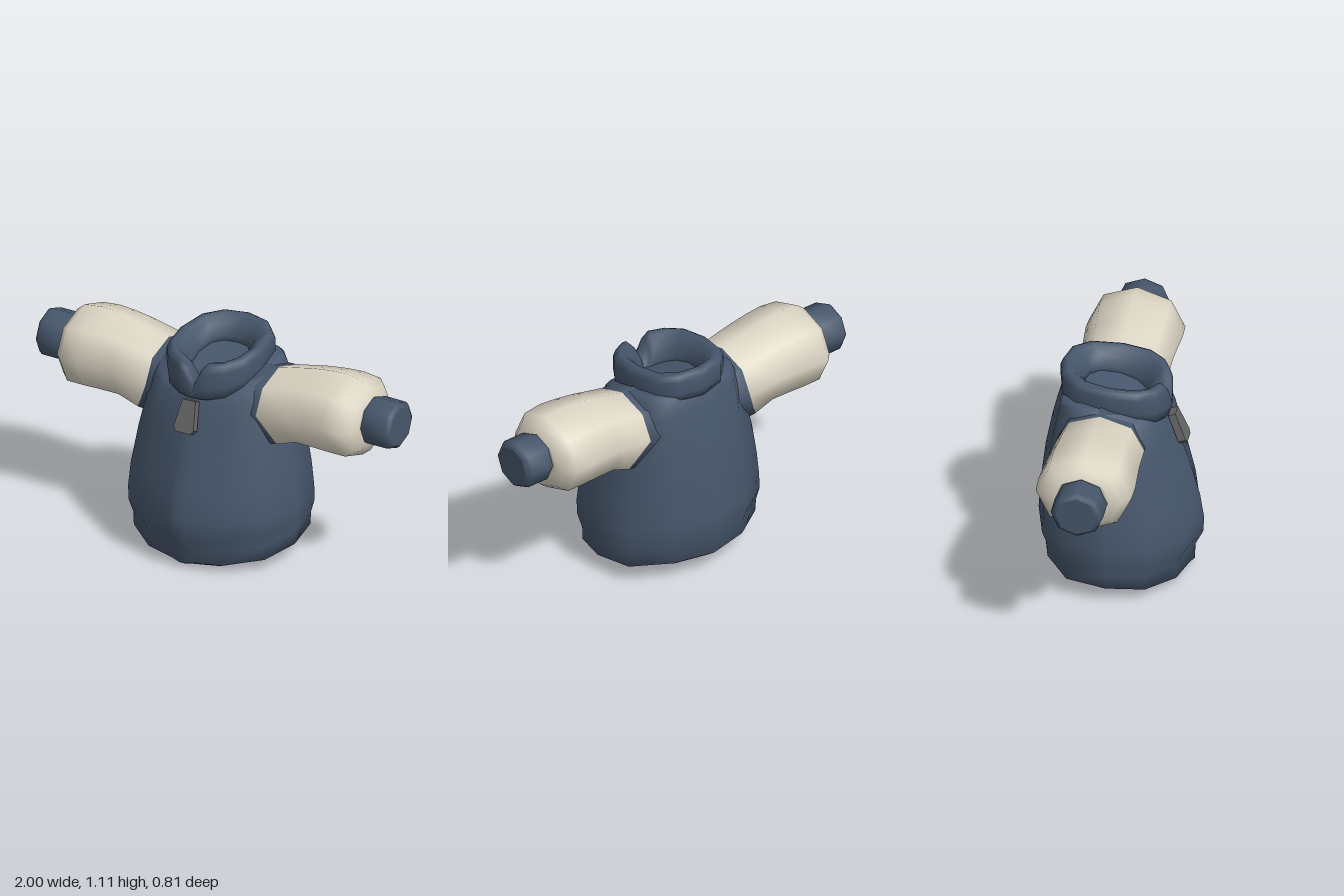
import * as THREE from 'three';

const rad = THREE.MathUtils.degToRad;
// Signed power: below 1 it squares off a circle.
const spow = (v, p) => Math.sign(v) * Math.abs(v) ** p;

// Skin between rings of [x, y, z] points; optional flat caps and end-to-start wrap.
function loft(rings, { capStart = false, capEnd = false, wrap = false } = {}) {
  const n = rings[0].length;
  const pos = rings.flat(2);
  const idx = [];
  const count = wrap ? rings.length : rings.length - 1;
  for (let i = 0; i < count; i++) {
    const k = (i + 1) % rings.length;
    for (let j = 0; j < n; j++) {
      const m = (j + 1) % n;
      const a = i * n + j, b = i * n + m, c = k * n + m, d = k * n + j;
      idx.push(a, b, c, a, c, d);
    }
  }
  const cap = (ring, flip) => {
    const base = pos.length / 3;
    const mid = [0, 1, 2].map(c => ring.reduce((s, p) => s + p[c], 0) / n);
    pos.push(...ring.flat(), ...mid);
    for (let j = 0; j < n; j++) {
      const a = base + j, b = base + (j + 1) % n;
      idx.push(base + n, flip ? b : a, flip ? a : b);
    }
  };
  if (capStart) cap(rings[0], true);
  if (capEnd) cap(rings[rings.length - 1], false);
  const geo = new THREE.BufferGeometry();
  geo.setAttribute('position', new THREE.Float32BufferAttribute(pos, 3));
  geo.setIndex(idx);
  geo.computeVertexNormals();
  return geo;
}

// Tilted body ring: front/back heights, front/back depth, half width,
// extra height at the sides, squareness.
function bodyRing([yF, yB, zF, zB, w, lift = 0, square = 0]) {
  const angles = [0, 6, 30, 60, 90, 120, 150, 180, 210, 240, 270, 300, 330, 354];
  return angles.map(deg => {
    const s = Math.sin(rad(deg)), c = Math.cos(rad(deg));
    const placket = deg === 6 || deg === 354;
    // Fuller at the back corners, slimmer beside the placket
    let bulge = 1;
    if (deg === 120 || deg === 240) bulge += 0.07 * (1 - square);
    if (deg === 30 || deg === 330) bulge -= 0.025;
    const z = (zF + zB) / 2 + (zF - zB) / 2 * (placket ? 0.95 : bulge * spow(c, 1 - 0.3 * square));
    const t = (z - zB) / (zF - zB);
    const x = w * (placket ? s : bulge * spow(s, 1 - 0.45 * square));
    return [x, yB + (yF - yB) * t + lift * s * s, z];
  });
}

// Eight-sided arm ring; slant pushes the underside outwards, flat squares it.
function armRing(side, [x, top, bottom, rz, slant = 0, flat = 0]) {
  return Array.from({ length: 8 }, (_, i) => {
    let c = Math.cos(i * Math.PI / 4);
    const s = Math.sin(i * Math.PI / 4);
    if (c < -0.01) c = spow(c, 1 - flat);
    return [side * (x + slant * Math.max(0, -c)), (top + bottom) / 2 + (top - bottom) / 2 * c, -0.053 + side * rz * s];
  });
}

// Collar: profile points as [inward 0..1, height 0..1], swept around with a V notch in front.
function collarGeometry() {
  const half = [9, 18, 40, 65, 90, 120, 150];
  const angles = [0, ...half, 180, ...half.map(a => 360 - a).reverse()];
  const profile = [[0.06, 0], [0, 0.3], [0, 0.75], [0.1, 0.94], [0.27, 1], [0.48, 0.95], [0.8, 0.7], [1, 0.35], [1, 0]];
  return loft(profile.map(([inward, h]) => angles.map(deg => {
    const s = Math.sin(rad(deg)), c = Math.cos(rad(deg));
    const fromFront = Math.min(deg, 360 - deg);
    const bottom = 0.92 - 0.05 * c + 0.02 * s * s;
    let top = 1.087 - 0.028 * c;
    if (fromFront === 0) top = 0.93;
    if (fromFront === 9) top = 1.025;
    const rx = 0.24 - 0.115 * inward, rz = 0.272 - 0.115 * inward;
    return [rx * spow(s, 0.9), bottom + (top - bottom) * h, -0.025 + rz * spow(c, 0.75)];
  })), { wrap: true });
}

export function createModel() {
  const model = new THREE.Group();
  const material = (name, color) => {
    const m = new THREE.MeshStandardMaterial({ color });
    m.name = name;
    return m;
  };
  const blue = material('slate blue cloth', 0x46566b);
  const cream = material('cream cloth', 0xddd6c5);
  const grey = material('grey metal', 0x666666);
  const add = (name, geo, mat) => {
    const mesh = new THREE.Mesh(geo, mat);
    mesh.name = name;
    model.add(mesh);
    return mesh;
  };

  // Body from the hem up to the neck, squarer towards the shoulders
  add('body', loft([
    [0.003, 0.083, 0.305, -0.34, 0.34, 0.01],
    [0.035, 0.11, 0.36, -0.375, 0.427, 0.015],
    [0.115, 0.19, 0.362, -0.38, 0.43],
    [0.19, 0.25, 0.4, -0.405, 0.445],
    [0.27, 0.33, 0.405, -0.4, 0.445],
    [0.4, 0.45, 0.385, -0.39, 0.43, 0, 0.1],
    [0.6, 0.62, 0.33, -0.37, 0.395, 0, 0.3],
    [0.72, 0.8, 0.29, -0.335, 0.355, 0, 0.6],
    [0.8, 0.9, 0.262, -0.31, 0.325, 0, 0.9],
    [0.86, 0.97, 0.235, -0.29, 0.305, 0, 1],
    [0.87, 0.98, 0.222, -0.275, 0.285, 0.06, 0.9],
    [0.9, 1.0, 0.19, -0.24, 0.2, 0.03],
  ].map(bodyRing), { capStart: true, capEnd: true }), blue);

  add('collar', collarGeometry(), blue);

  // Shoulders, sleeves and cuffs on both sides
  for (const [label, side] of [['left', 1], ['right', -1]]) {
    const ring = spec => armRing(side, spec);
    const seam = [0.312, 0.993, 0.648, 0.218, 0.088, 0.75];
    add(label + 'Shoulder', loft([
      [0.16, 0.98, 0.63, 0.2, 0, 0.75],
      [0.23, 0.995, 0.635, 0.214, 0.06, 0.75],
      seam,
    ].map(ring)), blue);
    add(label + 'Sleeve', loft([
      seam,
      [0.5, 1.035, 0.66, 0.225, 0, 0.25],
      [0.6, 1.05, 0.652, 0.232, 0, 0.1],
      [0.69, 1.056, 0.645, 0.238],
      [0.785, 1.045, 0.645, 0.234],
      [0.828, 1.01, 0.68, 0.19],
      [0.846, 0.97, 0.73, 0.14],
    ].map(ring), { capEnd: true }), cream);
    add(label + 'Cuff', loft([
      [0.83, 0.96, 0.74, 0.115],
      [0.86, 0.976, 0.728, 0.129],
      [0.975, 0.975, 0.729, 0.129],
      [0.992, 0.965, 0.74, 0.118],
      [1.0, 0.95, 0.753, 0.102],
    ].map(ring), { capEnd: true }), blue);
  }

  // Tapered zip pull leaning against the chest
  const outline = [[-0.04, 0], [0.04, 0], [0.056, 0.02], [0.037, 0.162], [-0.037, 0.162], [-0.056, 0.02]];
  const shape = new THREE.Shape(outline.map(p => new THREE.Vector2(...p)));
  const pull = add('zipPull', new THREE.ExtrudeGeometry(shape, { depth: 0.038, bevelEnabled: false }), grey);
  pull.position.set(0, 0.705, 0.295);
  pull.rotation.x = -0.38;

  return model;
}
